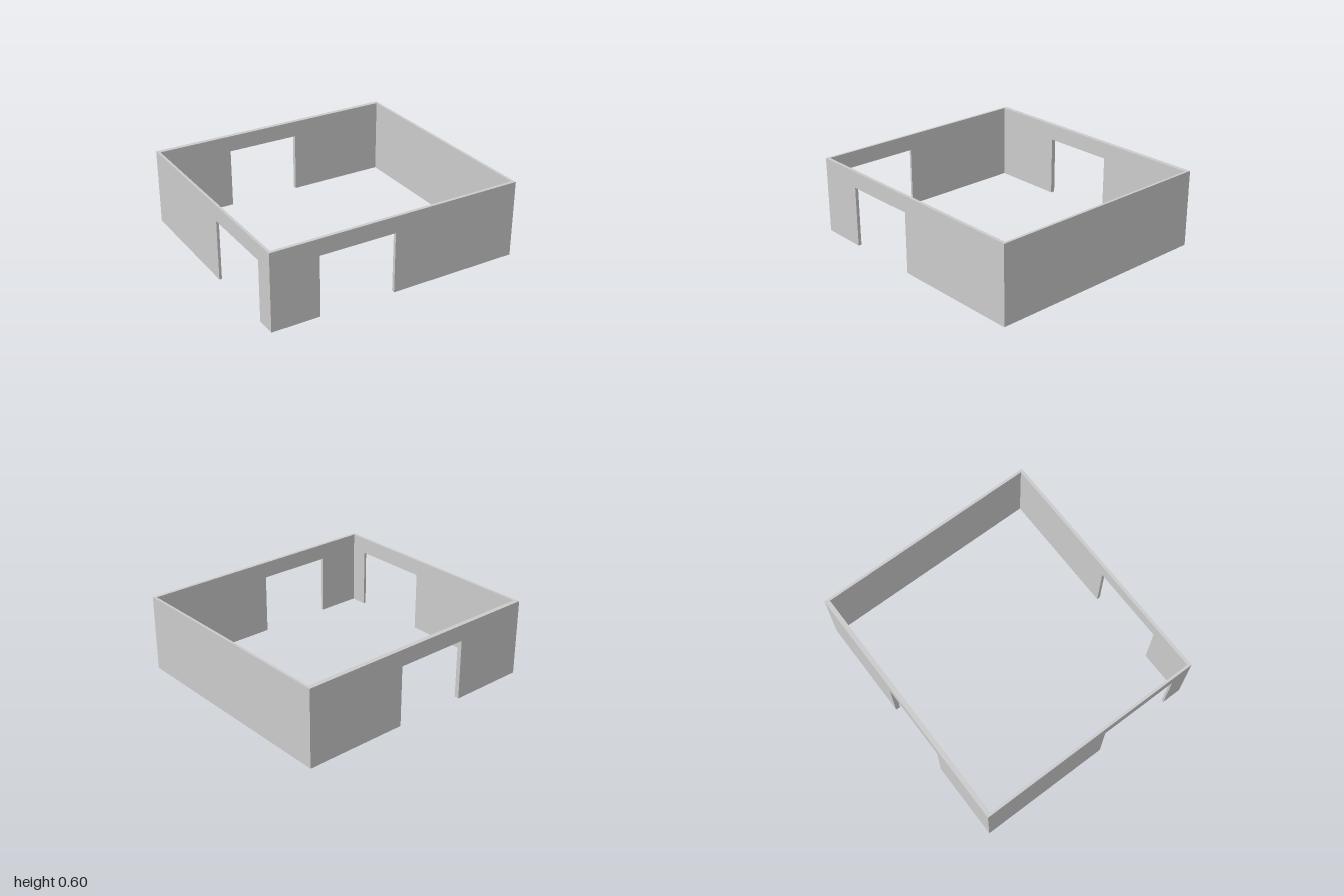
import * as THREE from 'three';

const HEIGHT = 0.597, DOOR = 0.47; // wall height, doorway height
const X = 1, Z = 0.912;            // outer half extents
const SIDE = 0.02, FRONT = 0.025, BACK = 0.036; // wall thicknesses

// Upright wall from a to b along local x, with an optional doorway cut from the floor
function wallGeometry(a, b, depth, door) {
  const points = [[a, 0]];
  if (door) points.push([door[0], 0], [door[0], DOOR], [door[1], DOOR], [door[1], 0]);
  points.push([b, 0], [b, HEIGHT], [a, HEIGHT]);
  const shape = new THREE.Shape(points.map(([x, y]) => new THREE.Vector2(x, y)));
  return new THREE.ExtrudeGeometry(shape, { depth, bevelEnabled: false });
}

export function createModel() {
  const group = new THREE.Group();
  const material = new THREE.MeshStandardMaterial({ color: 0xcccccc, flatShading: true });
  const add = (name, geometry) => {
    const mesh = new THREE.Mesh(geometry, material);
    mesh.name = name;
    group.add(mesh);
  };

  // Front and back walls span the full width
  add('frontWall', wallGeometry(-X, X, FRONT, [-0.63, -0.03]).translate(0, 0, Z - FRONT));
  add('backWall', wallGeometry(-X, X, BACK, [-0.395, 0.187]).translate(0, 0, -Z));

  // Side walls fit between them; turning maps local x to z and depth to -x
  const side = (door) => wallGeometry(-Z + BACK, Z - FRONT, SIDE, door).rotateY(-Math.PI / 2);
  add('leftWall', side().translate(X, 0, 0));
  add('rightWall', side([0.13, 0.755]).translate(-X + SIDE, 0, 0));

  return group;
}
